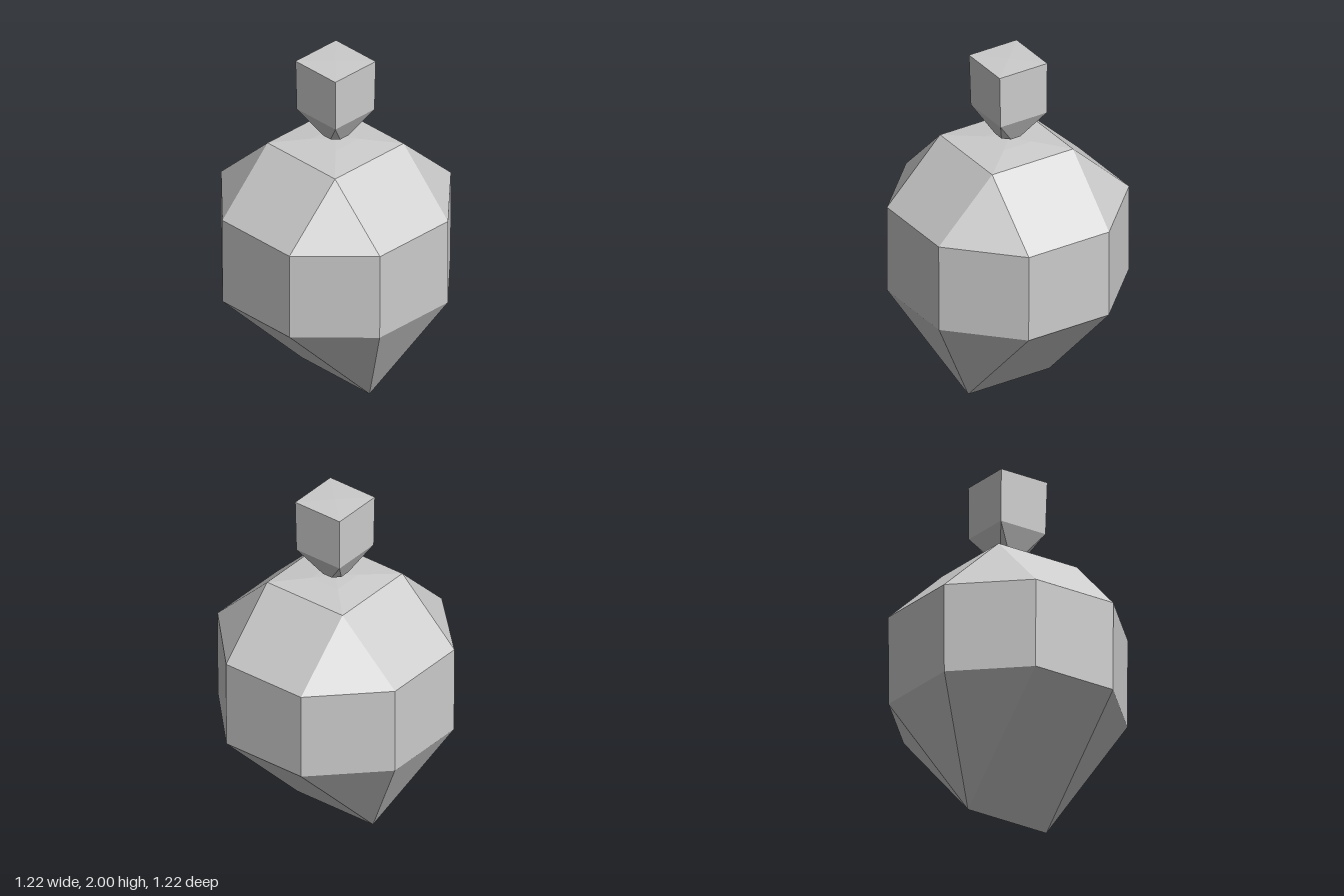
import * as THREE from 'three';

// Eight-point ring: a = half width of each flat side, b = distance to that side.
// a === b gives a square, zScale 0 a straight ridge; shift offsets the flats slightly.
function ring(y, a, b, shift = 0, zScale = 1) {
  const p = a + shift, n = -a + shift;
  return [[b, n], [b, p], [p, b], [n, b], [-b, p], [-b, n], [n, -b], [p, -b]]
    .map(([x, z]) => new THREE.Vector3(x, y, z * zScale));
}

// Square with its two sides at lo and hi.
function square(y, lo, hi) {
  return [[hi, lo], [hi, hi], [hi, hi], [lo, hi], [lo, hi], [lo, lo], [lo, lo], [hi, lo]]
    .map(([x, z]) => new THREE.Vector3(x, y, z));
}

// Faceted skin through rings listed from bottom to top, skipping collapsed triangles.
function loft(name, rings, material) {
  const points = [];
  const tri = new THREE.Triangle();
  const add = (a, b, c) => {
    if (tri.set(a, b, c).getArea() > 1e-7) points.push(a, b, c);
  };
  for (let r = 0; r < rings.length - 1; r++) {
    for (let i = 0; i < 8; i++) {
      const j = (i + 1) % 8, lo = rings[r], hi = rings[r + 1];
      add(lo[i], hi[i], lo[j]);
      add(lo[j], hi[i], hi[j]);
    }
  }
  const geometry = new THREE.BufferGeometry().setFromPoints(points);
  geometry.computeVertexNormals();
  const mesh = new THREE.Mesh(geometry, material);
  mesh.name = name;
  return mesh;
}

export function createModel() {
  const group = new THREE.Group();
  group.name = 'facetedFigure';
  const grey = new THREE.MeshStandardMaterial({ color: 0xcccccc, flatShading: true });

  // Body: ridge at the bottom, octagonal belt, square shoulders and a shallow cap
  group.add(loft('body', [
    ring(0, 0.26, 0.26, 0, 0),
    ring(0.625, 0.257, 0.608, 0.008),
    ring(1.14, 0.257, 0.61, 0.008),
    square(1.482, -0.25, 0.268),
    square(1.502, -0.09, 0.09),
    ring(1.507, 0, 0),
  ], grey));

  // Head: small block tapering to a narrow octagonal foot
  group.add(loft('head', [
    ring(1.54, 0, 0),
    ring(1.54, 0.03, 0.067),
    square(1.69, -0.148, 0.148),
    square(1.995, -0.15, 0.155),
    ring(2, 0, 0),
  ], grey));

  return group;
}
